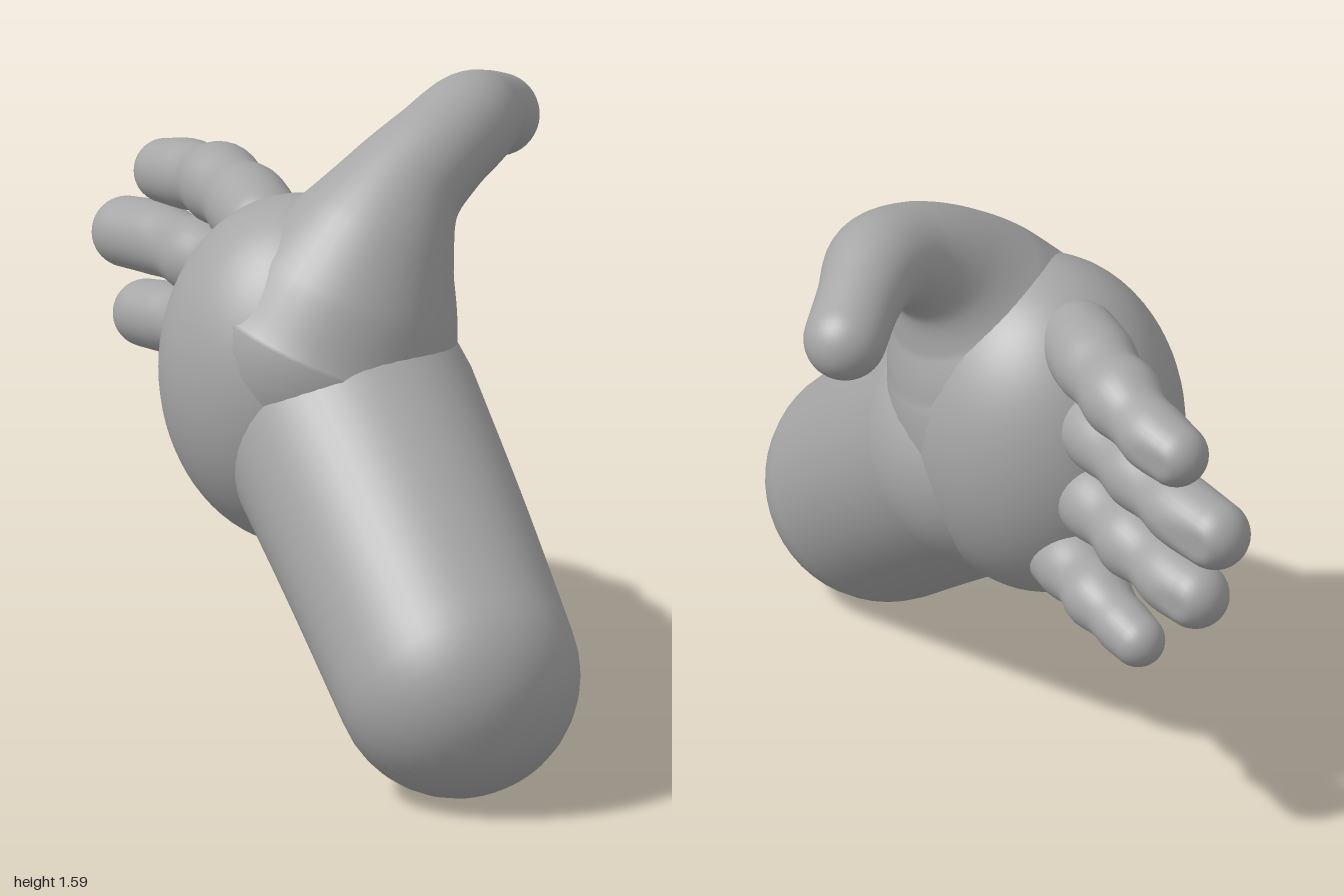
import * as THREE from 'three';

const skin = new THREE.MeshStandardMaterial({ color: 0xa6a6a6 });
skin.name = 'grey skin';

// Round-ended tube through [x, y, z, radius] stations, smooth all round.
function limb(name, stations, limitX = Infinity, sides = 32, steps = 48, capSteps = 10) {
  const path = new THREE.CatmullRomCurve3(stations.map(s => new THREE.Vector3(s[0], s[1], s[2])));
  const girth = new THREE.CatmullRomCurve3(stations.map(s => new THREE.Vector3(s[3], 0, 0)), false, 'catmullrom');
  const rings = [];
  const ring = (t, along, scale) => {
    const r = girth.getPoint(t).x;
    const dir = path.getTangent(t);
    rings.push({ centre: path.getPoint(t).addScaledVector(dir, along * r), dir, r: r * scale });
  };
  for (let i = 0; i < capSteps; i++) {
    const a = (i / capSteps) * Math.PI / 2;
    ring(0, -Math.cos(a), Math.sin(a));
  }
  for (let i = 0; i <= steps; i++) ring(i / steps, 0, 1);
  for (let i = capSteps - 1; i >= 0; i--) {
    const a = (i / capSteps) * Math.PI / 2;
    ring(1, Math.cos(a), Math.sin(a));
  }

  // carry one side direction along the path so the rings do not twist
  const side = new THREE.Vector3(0.3, 0.2, 1).cross(rings[0].dir);
  const up = new THREE.Vector3();
  const position = [];
  const index = [];
  rings.forEach(({ centre, dir, r }, j) => {
    side.addScaledVector(dir, -side.dot(dir)).normalize();
    up.crossVectors(dir, side);
    for (let i = 0; i < sides; i++) {
      const a = (i / sides) * Math.PI * 2;
      const p = centre.clone().addScaledVector(side, r * Math.cos(a)).addScaledVector(up, r * Math.sin(a));
      position.push(Math.min(p.x, limitX), p.y, p.z);
      if (j === 0) continue;
      const a1 = j * sides + i, b1 = j * sides + (i + 1) % sides;
      const a0 = a1 - sides, b0 = b1 - sides;
      if (j > 1) index.push(a0, b0, b1);
      if (j === 1) index.push(a0, b1, a1);
      else if (j < rings.length - 1) index.push(a0, b1, a1);
    }
  });
  const geometry = new THREE.BufferGeometry();
  geometry.setAttribute('position', new THREE.Float32BufferAttribute(position, 3));
  geometry.setIndex(index);
  geometry.computeVertexNormals();
  // the pole vertices share one direction
  const normal = geometry.attributes.normal;
  const last = rings.length - 1;
  for (let i = 0; i < sides; i++) {
    const s = rings[0].dir, e = rings[last].dir;
    normal.setXYZ(i, -s.x, -s.y, -s.z);
    normal.setXYZ(last * sides + i, e.x, e.y, e.z);
  }
  const mesh = new THREE.Mesh(geometry, skin);
  mesh.name = name;
  return mesh;
}

export function createModel() {
  const hand = new THREE.Group();
  hand.name = 'hand';

  // forearm widening slightly toward the wrist
  hand.add(limb('forearm', [
    [-0.385, 0.31, 0.69, 0.31], [-0.24, 0.555, 0.385, 0.323], [-0.1, 0.79, 0.08, 0.335],
  ], Infinity, 48));

  // palm
  const palm = new THREE.Mesh(new THREE.SphereGeometry(1, 64, 40), skin);
  palm.name = 'palm';
  palm.scale.set(0.345, 0.45, 0.365);
  palm.position.set(-0.105, 0.89, -0.075);
  hand.add(palm);

  // thumb with a broad base that merges into the palm
  hand.add(limb('thumb', [
    [-0.1, 0.98, 0.02, 0.335], [-0.06, 1.12, 0.06, 0.285], [0.0, 1.255, 0.09, 0.215],
    [0.085, 1.36, 0.105, 0.157], [0.2, 1.43, 0.115, 0.135], [0.34, 1.468, 0.095, 0.127],
    [0.47, 1.45, 0.035, 0.108], [0.585, 1.408, -0.02, 0.105],
  ], Infinity, 40, 80));

  // fingers: knuckle bulges with narrow joints between, flat on the inner face
  const fingers = {
    indexFinger: [
      [-0.045, 1.215, -0.25, 0.105], [0.03, 1.228, -0.37, 0.108], [0.075, 1.228, -0.45, 0.096],
      [0.12, 1.23, -0.54, 0.105], [0.155, 1.218, -0.625, 0.087], [0.18, 1.207, -0.7, 0.09],
      [0.195, 1.195, -0.783, 0.082],
    ],
    middleFinger: [
      [-0.01, 1.03, -0.3, 0.1], [0.04, 1.035, -0.41, 0.1], [0.075, 1.032, -0.5, 0.088],
      [0.105, 1.03, -0.59, 0.1], [0.14, 1.025, -0.69, 0.087], [0.17, 1.022, -0.78, 0.094],
      [0.19, 1.01, -0.908, 0.09],
    ],
    ringFinger: [
      [0.0, 0.85, -0.3, 0.1], [0.05, 0.845, -0.4, 0.103], [0.085, 0.84, -0.49, 0.088],
      [0.12, 0.835, -0.58, 0.1], [0.15, 0.828, -0.67, 0.083], [0.175, 0.82, -0.75, 0.09],
      [0.19, 0.81, -0.843, 0.086],
    ],
    littleFinger: [
      [0.02, 0.65, -0.23, 0.098], [0.075, 0.652, -0.34, 0.098], [0.11, 0.648, -0.41, 0.082],
      [0.145, 0.645, -0.48, 0.088], [0.17, 0.635, -0.55, 0.073], [0.185, 0.625, -0.6, 0.073],
      [0.2, 0.613, -0.66, 0.068],
    ],
  };
  for (const [name, stations] of Object.entries(fingers)) hand.add(limb(name, stations, 0.268));

  return hand;
}
